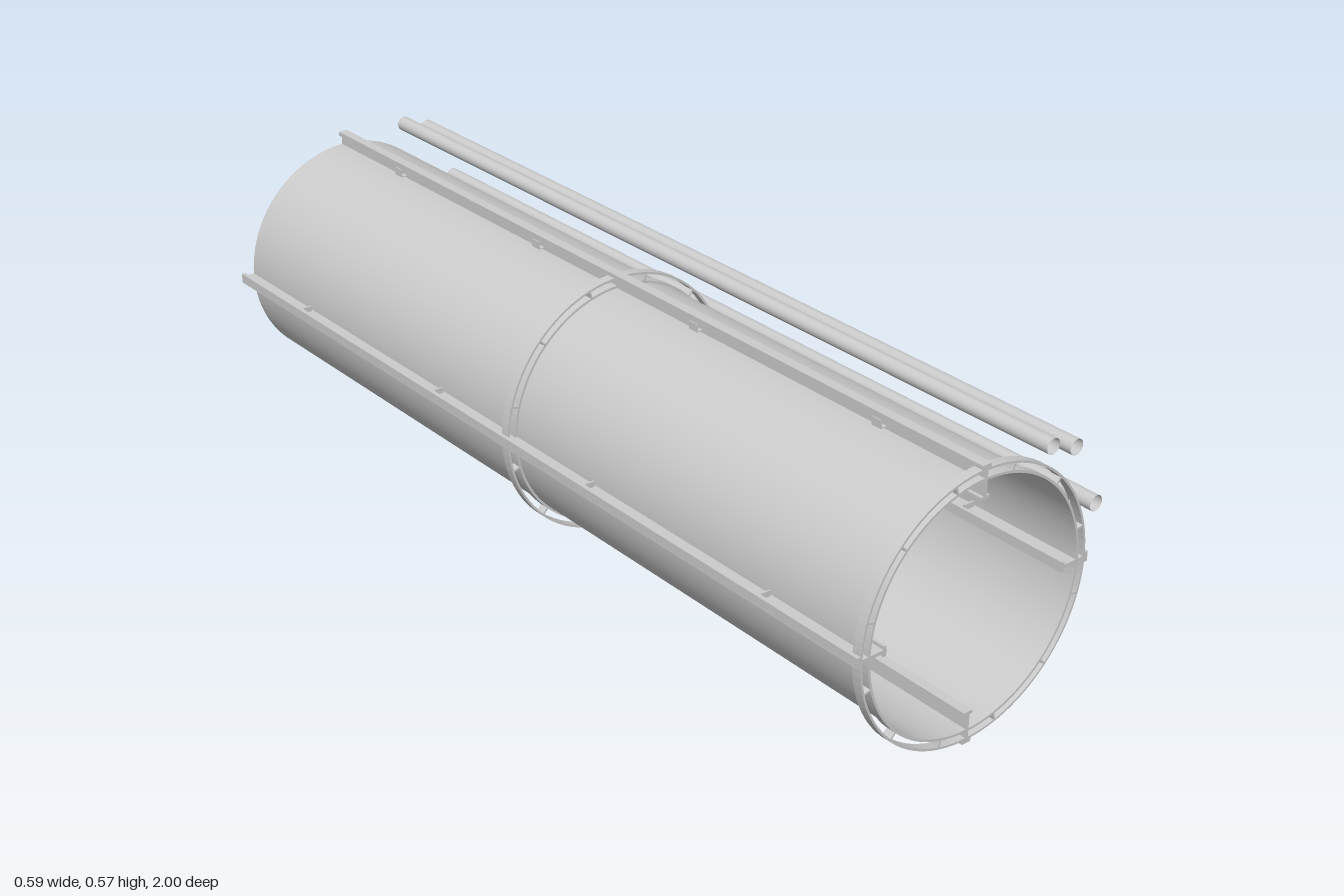
import * as THREE from 'three';

const CX = -0.0135, CY = 0.285, TUBE_R = 0.2535;
const grey = new THREE.MeshStandardMaterial({ color: 0xcccccc });
const thin = new THREE.MeshStandardMaterial({ color: 0xcccccc, side: THREE.DoubleSide });

function add(parent, name, geometry, x = 0, y = 0, z = 0, material = grey) {
  const mesh = new THREE.Mesh(geometry, material);
  mesh.name = name;
  mesh.position.set(x, y, z);
  parent.add(mesh);
  return mesh;
}

// Box given by its tangential, radial and lengthwise limits
function bar(parent, name, x0, x1, y0, y1, z0, z1) {
  return add(parent, name, new THREE.BoxGeometry(x1 - x0, y1 - y0, z1 - z0),
    (x0 + x1) / 2, (y0 + y1) / 2, (z0 + z1) / 2);
}

// Open thin-walled pipe running along z
function openPipe(parent, name, radius, sides, x, y) {
  const geometry = new THREE.CylinderGeometry(radius, radius, 2, sides, 1, true).rotateX(Math.PI / 2);
  return add(parent, name, geometry, x, y, 0, thin);
}

// Flat circular band with a hole
function band(parent, name, inner, outer, depth) {
  const shape = new THREE.Shape().absarc(0, 0, outer, 0, Math.PI * 2, false);
  shape.holes.push(new THREE.Path().absarc(0, 0, inner, 0, Math.PI * 2, true));
  add(parent, name, new THREE.ExtrudeGeometry(shape, { depth, bevelEnabled: false, curveSegments: 48 }));
}

// Double-band ring joined by twelve struts
function makeRing(z) {
  const ring = new THREE.Group();
  ring.name = 'stiffeningRing';
  ring.position.z = z;
  band(ring, 'innerBand', TUBE_R, 0.2585, 0.02);
  band(ring, 'outerBand', 0.272, 0.2765, 0.02);
  for (let i = 0; i < 12; i++) {
    const spoke = new THREE.Group();
    spoke.name = 'ringStrut';
    spoke.rotation.z = Math.PI / 12 + i * Math.PI / 6;
    bar(spoke, 'strut', -0.002, 0.002, 0.258, 0.2725, 0, 0.02);
    ring.add(spoke);
  }
  return ring;
}

// Side plates on the rail: flat plates, or one plate and one thin channel
function makeBracket(z, channel) {
  const bracket = new THREE.Group();
  bracket.name = 'railBracket';
  bracket.position.z = z;
  for (const [y0, y1] of [[0.258, 0.275], [0.223, 0.248]]) {
    bar(bracket, 'plate', 0.003, 0.0155, y0, y1, -0.002, 0.002);
    if (channel) {
      bar(bracket, 'channelWall', -0.0175, -0.0155, y0, y1, -0.012, 0.012);
      bar(bracket, 'channelLip', -0.0155, -0.003, y0, y0 + 0.002, -0.012, 0.012);
    } else {
      bar(bracket, 'plate', -0.0155, -0.003, y0, y1, -0.002, 0.002);
    }
  }
  return bracket;
}

// I-section rail passing through the tube wall, built at the top position
function makeRail(channel) {
  const rail = new THREE.Group();
  rail.name = 'rail';
  bar(rail, 'outerFlange', -0.0105, 0.0105, 0.275, 0.284, -1, 1);
  bar(rail, 'web', -0.0035, 0.0035, 0.222, 0.276, -1, 1);
  bar(rail, 'innerFlange', -0.0105, 0.0105, 0.2165, 0.223, -1, 1);
  for (const z of [-0.75, -0.25, 0.25, 0.75]) rail.add(makeBracket(z, channel));
  return rail;
}

export function createModel() {
  const model = new THREE.Group();
  model.name = 'tubeSection';

  const body = new THREE.Group();
  body.name = 'tubeAssembly';
  body.position.set(CX, CY, 0);
  model.add(body);

  openPipe(body, 'mainTube', TUBE_R, 96, 0, 0);
  for (const z of [0.98, -0.02]) body.add(makeRing(z));

  // Four rails, the bottom one mirrored from the top
  const top = makeRail(true);
  const bottom = makeRail(true);
  bottom.rotation.x = Math.PI;
  const left = makeRail(false);
  left.rotation.z = -Math.PI / 2;
  const right = makeRail(false);
  right.rotation.z = Math.PI / 2;
  body.add(top, bottom, left, right);

  // Loose service pipes beside the tube
  for (const [x, y] of [[0.151, 0.548], [0.213, 0.526], [0.28, 0.39]]) {
    openPipe(model, 'servicePipe', 0.016, 24, x, y);
  }
  return model;
}
